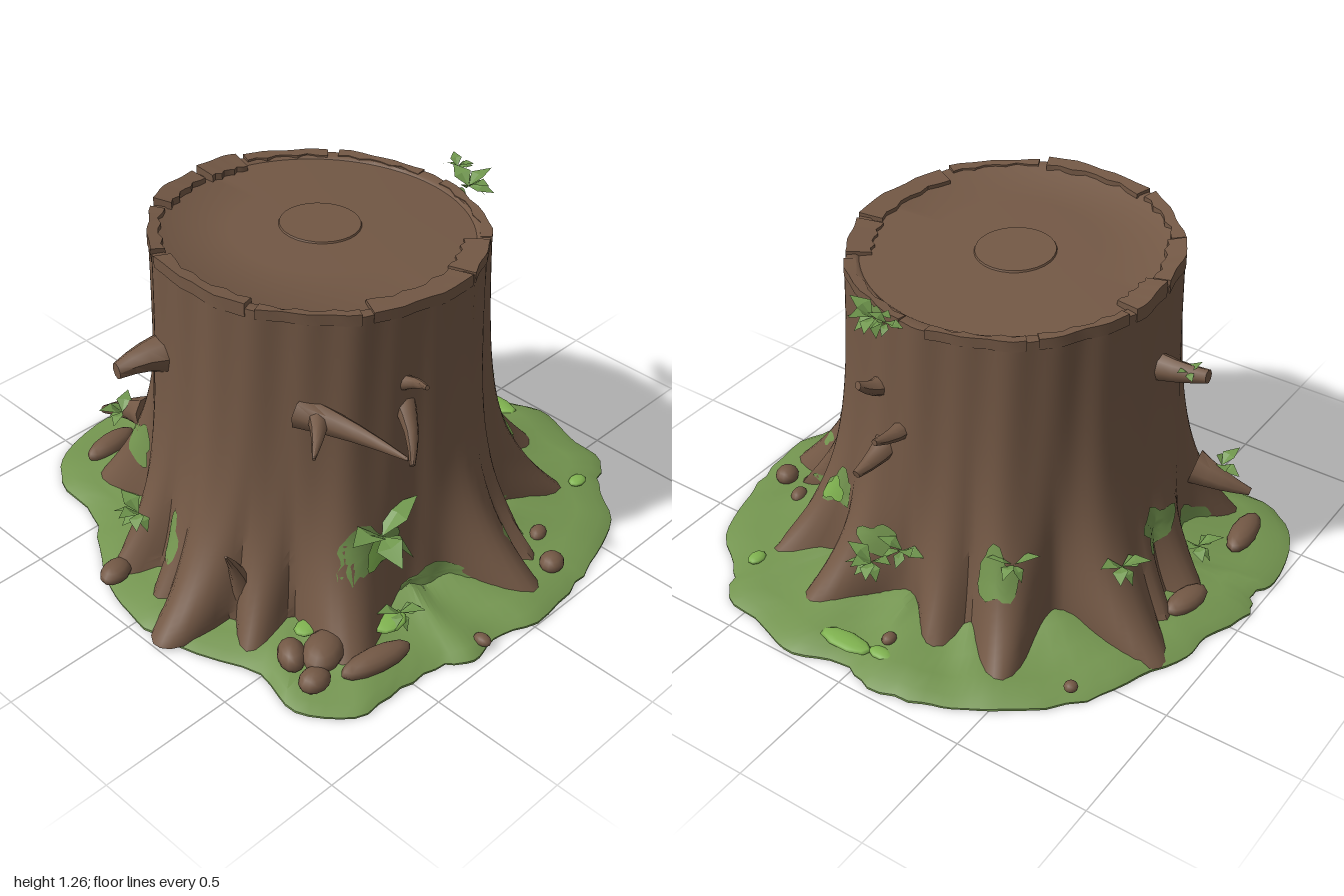
import * as THREE from 'three';
import { toCreasedNormals } from 'three/addons/utils/BufferGeometryUtils.js';

const V = (x, y, z) => new THREE.Vector3(x, y, z);
const CX = -0.06, CZ = 0; // trunk axis
const TAU = Math.PI * 2;

function material(name, color) {
  const m = new THREE.MeshStandardMaterial({ color });
  m.name = name;
  return m;
}

// Skin a list of closed rings
function loft(rings, crease = 0.6) {
  const n = rings[0].length, pos = [], idx = [];
  rings.forEach(r => r.forEach(p => pos.push(p.x, p.y, p.z)));
  for (let j = 0; j < rings.length - 1; j++) {
    for (let i = 0; i < n; i++) {
      const a = j * n + i, b = j * n + (i + 1) % n;
      idx.push(a, a + n, b, b, a + n, b + n);
    }
  }
  const g = new THREE.BufferGeometry();
  g.setAttribute('position', new THREE.Float32BufferAttribute(pos, 3));
  g.setIndex(idx);
  return toCreasedNormals(g, crease);
}

// Root tips: x, z, angular width
const roots = [
  [0.36, -0.84, 0.16], [0.71, -0.5, 0.14], [0.75, -0.16, 0.13], [0.8, 0.31, 0.16],
  [0.62, 0.64, 0.12], [0.12, 0.92, 0.14], [0.28, 0.8, 0.08], [-0.62, 0.72, 0.19],
  [-0.82, 0.4, 0.12], [-0.97, 0.2, 0.16], [-0.88, -0.02, 0.11], [-0.87, -0.27, 0.11],
  [-0.56, -0.72, 0.13], [-0.1, -0.82, 0.14], [0.13, -0.8, 0.11],
].map(([x, z, w]) => ({
  angle: Math.atan2(z - CZ, x - CX), w, reach: (Math.hypot(x - CX, z - CZ) - 0.65) * 1.07,
}));

// Trunk radius at an angle and height
function radius(a, y) {
  let r = 0.575 + 0.07 * Math.exp(-y / 0.35);
  const fall = Math.exp(-((y / 0.29) ** 1.15));
  let bump = 0;
  for (const t of roots) {
    const bend = 0.05 * Math.sin(t.angle * 7) * Math.exp(-y / 0.15); // roots curl sideways near the ground
    const da = a - t.angle - bend;
    const d = Math.abs(Math.atan2(Math.sin(da), Math.cos(da))) / (t.w * (1 + 1.2 * y));
    bump = Math.max(bump, t.reach * Math.exp(-(d ** 2.3)));
  }
  r += bump * fall;
  return r + 0.006 * Math.sin(a * 9 + y) + 0.004 * Math.sin(a * 23 + 2 * y);
}
const topY = x => 1.215 - 0.045 * (x - CX);
const polar = (a, r, y) => V(CX + Math.cos(a) * r, y, CZ + Math.sin(a) * r);
const angleOf = (x, z) => Math.atan2(z - CZ, x - CX);

function trunkGeometry() {
  const N = 180, rings = [];
  const ring = f => rings.push(Array.from({ length: N }, (_, i) => f(i / N * TAU)));
  for (let j = 0; j <= 28; j++) {
    const t = (j / 28) ** 1.6;
    ring(a => polar(a, radius(a, t * 1.2), 0.01 + t * (topY(CX + Math.cos(a) * 0.58) - 0.01)));
  }
  // sawn face
  for (const [r, d] of [[0.545, 0], [0.535, 0.008], [0.3, 0.002], [0, 0]]) {
    ring(a => polar(a, r, topY(CX + Math.cos(a) * r) - d));
  }
  return loft(rings, 0.7);
}

// Broken bark slab along the rim
function barkSlab(a0, a1, inner, lift) {
  const rings = [], n = 8;
  for (let k = 0; k <= n; k++) {
    const a = a0 + (a1 - a0) * k / n;
    const ro = radius(a, 1.2) + 0.004, ri = inner + 0.008 * Math.sin(k * 2.3);
    const y = topY(CX + Math.cos(a) * ro), h = lift * (1 - 0.35 * k / n);
    rings.push([polar(a, ro, y + h), polar(a, ro, y - 0.03), polar(a, ri, y - 0.03), polar(a, ri, y + h * 0.6)]);
  }
  const cap = r => { const c = V(0, 0, 0); r.forEach(p => c.addScaledVector(p, 0.25)); return r.map(() => c); };
  return loft([cap(rings[0]), ...rings, cap(rings[n])], 0.5);
}

// Outline of the mossy ground, x and z pairs
const outline = [
  0.97, -0.1, 0.93, 0.05, 0.99, 0.22, 0.94, 0.4, 0.9, 0.6, 0.78, 0.68, 0.65, 0.85, 0.45, 0.93, 0.28, 0.97,
  0.02, 1, -0.15, 0.94, -0.28, 0.97, -0.36, 0.91, -0.55, 0.88, -0.75, 0.86, -0.87, 0.7, -0.84, 0.5,
  -0.95, 0.2, -0.97, 0, -0.93, -0.2, -0.85, -0.35, -0.72, -0.55, -0.68, -0.8, -0.55, -0.93, -0.3, -1,
  -0.2, -0.96, -0.1, -1, 0.1, -0.93, 0.22, -0.92, 0.4, -0.84, 0.6, -0.75, 0.8, -0.55, 0.88, -0.42, 0.93, -0.3,
];
function mossGeometry() {
  const pts = [];
  for (let i = 0; i < outline.length; i += 2) pts.push(V(outline[i], 0, outline[i + 1]));
  const edge = new THREE.CatmullRomCurve3(pts, true).getPoints(136).slice(0, 136);
  edge.forEach((p, i) => p.multiplyScalar(1 - 0.012 * Math.sin(i * 0.8 + 3 * Math.sin(i * 0.37)) ** 2)); // ragged rim
  const levels = [[0, 0], [1, 0], [1, 0.008], [0.96, 0.028], [0.88, 0.04], [0.78, 0.052], [0.68, 0.08], [0.55, 0.1], [0, 0.1]];
  return loft(levels.map(([s, y]) => edge.map((p, i) =>
    V(p.x * s, y * (1 + 0.2 * Math.sin(i * 0.7 + s * 9)), p.z * s))), 0.7);
}

// Thin moss patch following the bark
function patchGeometry(a, y, w, h, lift) {
  const rings = [], N = 22;
  for (const s of [1, 0.66, 0.33, 0]) {
    rings.push(Array.from({ length: N }, (_, i) => {
      const t = i / N * TAU, k = s * (1 + 0.22 * Math.sin(t * 3 + a * 5) + 0.12 * Math.sin(t * 5));
      const aa = a + Math.cos(t) * w * k, yy = Math.max(0.02, y + Math.sin(t) * h * k);
      return polar(aa, radius(aa, yy) + lift, yy);
    }).reverse());
  }
  return loft(rings, 1);
}

// Bent diamond leaf pointing along +z
function leafGeometry() {
  const g = new THREE.BufferGeometry();
  g.setAttribute('position', new THREE.Float32BufferAttribute(
    [0, 0, 0, 0.3, 0.12, 0.45, 0, 0.08, 0.5, -0.3, 0.12, 0.45, 0, -0.1, 1], 3));
  g.setIndex([0, 2, 1, 0, 3, 2, 1, 2, 4, 2, 3, 4]);
  return toCreasedNormals(g, 0.2);
}

export function createModel() {
  const model = new THREE.Group();
  model.name = 'treeStump';
  const bark = material('bark brown', 0x735845);
  const moss = material('moss green', 0x73944f);
  const bright = material('bright moss green', 0x80b350);
  const leafMat = material('leaf green', 0x6f964d);
  for (const m of [moss, bright, leafMat]) m.side = THREE.DoubleSide;
  const add = (name, geo, mat, parent = model) => {
    const m = new THREE.Mesh(geo, mat);
    m.name = name;
    parent.add(m);
    return m;
  };

  add('trunk', trunkGeometry(), bark);
  add('mossGround', mossGeometry(), moss);

  // heartwood disc
  const heart = add('heartwood', new THREE.CylinderGeometry(0.14, 0.145, 0.01, 28), bark);
  heart.position.set(-0.035, topY(-0.035), -0.02);
  heart.rotation.z = -0.045;

  // rim slabs: start, end, inner radius, lift
  [[0.1, 0.85, 0.55, 0.008], [0.9, 1.3, 0.49, 0.012], [1.34, 2.05, 0.5, 0.014], [2.12, 2.7, 0.55, 0.012],
    [2.76, 3.5, 0.535, 0.02], [3.56, 4.1, 0.54, 0.02], [4.15, 4.6, 0.52, 0.03], [4.64, 4.95, 0.5, 0.032],
    [5.0, 5.55, 0.545, 0.014], [5.62, 6.2, 0.55, 0.01],
  ].forEach(s => add('rimBark', barkSlab(...s), bark));

  // broken branch stubs: base, tip, base radius, tip radius
  const up = V(0, 1, 0);
  const stub = (p, q, r, rt) => {
    const a = V(...p), d = V(...q).sub(a), len = d.length();
    const g = new THREE.CylinderGeometry(rt, r, len, 8, 4);
    const at = g.attributes.position;
    for (let i = 0; i < at.count; i++) {
      const t = at.getY(i) / len + 0.5;
      at.setX(i, at.getX(i) * (1 - 0.5 * t * (1 - t)) + 0.015 * Math.sin(t * Math.PI));
    }
    const m = add('branchStub', toCreasedNormals(g, 0.8), bark);
    m.position.copy(a).addScaledVector(d, 0.5);
    m.quaternion.setFromUnitVectors(up, d.normalize());
  };
  stub([-0.5, 0.86, 0.36], [-0.41, 0.83, 0.75], 0.06, 0.006);
  stub([-0.45, 0.86, 0.38], [-0.62, 0.83, 0.54], 0.05, 0.006);
  stub([-0.22, 0.92, 0.53], [-0.24, 0.98, 0.67], 0.03, 0.008);
  stub([-0.2, 0.83, 0.53], [-0.31, 0.71, 0.68], 0.045, 0.01);
  stub([-0.56, 0.85, -0.2], [-0.77, 0.85, -0.25], 0.09, 0.03);
  stub([-0.1, 0.91, -0.52], [-0.11, 0.93, -0.75], 0.06, 0.025);
  stub([0.46, 0.88, 0.16], [0.585, 0.92, 0.19], 0.05, 0.015);
  stub([0.46, 0.76, 0.06], [0.66, 0.78, 0.07], 0.045, 0.012);
  stub([0.46, 0.68, 0.14], [0.68, 0.63, 0.14], 0.06, 0.015);
  stub([-0.68, 0.1, 0.25], [-0.78, 0.36, 0.28], 0.06, 0.005);
  stub([-0.4, 0.3, -0.58], [-0.45, 0.24, -0.79], 0.07, 0.015);

  // surface roots and knobs in the moss: x, y, z, half sizes, turn
  [[-0.66, 0.08, 0.62, 0.1, 0.05, 0.07, 0.5], [-0.76, 0.06, 0.68, 0.06, 0.04, 0.05, 0],
    [-0.55, 0.06, 0.76, 0.14, 0.04, 0.05, -0.2], [-0.74, 0.07, 0.55, 0.07, 0.05, 0.05, 1],
    [-0.2, 0.03, 0.93, 0.025, 0.02, 0.035, 0], [0.26, 0.05, 0.86, 0.05, 0.035, 0.045, 0.4],
    [0.34, 0.06, 0.73, 0.04, 0.025, 0.03, 0.3], [-0.43, 0.06, -0.79, 0.12, 0.04, 0.05, 0.1],
    [0.02, 0.06, -0.8, 0.1, 0.035, 0.05, -0.2], [-0.88, 0.05, -0.21, 0.07, 0.035, 0.05, 0.3],
    [0.78, 0.06, -0.05, 0.03, 0.02, 0.025, 0], [0.61, 0.05, -0.69, 0.025, 0.02, 0.025, 0],
  ].forEach(([x, y, z, sx, sy, sz, turn]) => {
    const m = add('rootKnob', new THREE.SphereGeometry(1, 12, 8), bark);
    m.position.set(x, y, z);
    m.scale.set(sx, sy, sz);
    m.rotation.y = turn;
  });

  // moss on the bark: direction x, z, height, half width, half height, material, lift
  [[-0.42, 0.6, 0.34, 0.18, 0.08, moss, 0.008], [-0.37, 0.6, 0.32, 0.08, 0.045, bright, 0.015],
    [0.53, 0.43, 0.33, 0.08, 0.07, moss, 0.008], [0.52, 0.44, 0.32, 0.05, 0.045, bright, 0.015],
    [0.12, 0.7, 0.2, 0.03, 0.03, moss, 0.008], [-0.15, 0.7, 0.1, 0.18, 0.04, moss, 0.008],
    [0.62, 0.13, 0.3, 0.09, 0.06, moss, 0.008], [0.6, -0.37, 0.32, 0.1, 0.09, moss, 0.008],
    [0, -0.65, 0.32, 0.14, 0.07, moss, 0.008], [-0.5, -0.5, 0.27, 0.12, 0.08, moss, 0.008],
    [-0.7, -0.05, 0.22, 0.08, 0.08, moss, 0.008], [-0.3, -0.62, 0.12, 0.14, 0.05, moss, 0.008],
    [0.35, 0.7, 0.09, 0.12, 0.04, moss, 0.008], [0.5, 0.16, 1.17, 0.08, 0.03, moss, 0.008],
  ].forEach(([x, z, y, w, h, mat, lift]) => add('mossPatch', patchGeometry(angleOf(x, z), y, w, h, lift), mat));

  // bright tufts on the ground
  [[0.86, 0.08, 0.045, 0.11], [0.84, -0.06, 0.03, 0.05], [0.7, 0.63, 0.04, 0.03],
    [-0.4, 0.68, 0.07, 0.05], [-0.62, 0.5, 0.05, 0.04]].forEach(([x, z, rx, rz]) => {
    const m = add('mossTuft', new THREE.SphereGeometry(1, 9, 6), bright);
    m.position.set(x, x < 0 ? 0.08 : 0.042, z);
    m.scale.set(rx, 0.014, rz);
  });

  // leafy sprigs: position, leaf length, leaf count, outward turn
  const leaf = leafGeometry();
  [[0.55, 1.19, 0.14, 0.11, 7, 1.4], [0.59, 1.22, 0.05, 0.07, 5, 1.8], [0.7, 0.29, 0.08, 0.11, 7, 1.5],
    [0.6, 0.3, 0.02, 0.1, 5, 1.8], [-0.36, 0.39, 0.6, 0.19, 4, 0.1], [-0.78, 0.28, -0.18, 0.11, 6, -1.7],
    [-0.46, 0.3, -0.66, 0.1, 5, -2.6], [0.25, 0.31, -0.66, 0.11, 5, 2.8], [-0.08, 0.94, -0.69, 0.06, 4, 2.8],
    [0.5, 0.36, -0.38, 0.1, 4, 2.2], [-0.35, 0.09, 0.68, 0.1, 5, -0.3], [-0.2, 0.12, -0.72, 0.1, 5, 3],
  ].forEach(([x, y, z, s, n, turn]) => {
    const sprig = new THREE.Group();
    sprig.name = 'sprig';
    sprig.position.set(x, y, z);
    sprig.rotation.y = turn;
    model.add(sprig);
    for (let i = 0; i < n; i++) {
      const m = add('leaf', leaf, leafMat, sprig);
      m.scale.setScalar(s * (1 - 0.15 * (i % 3)));
      m.rotation.set(-0.5 + 0.5 * (i % 3), (i / (n - 1) - 0.5) * 3, 0.3 * Math.sin(i * 2), 'YXZ');
    }
  });

  return model;
}
